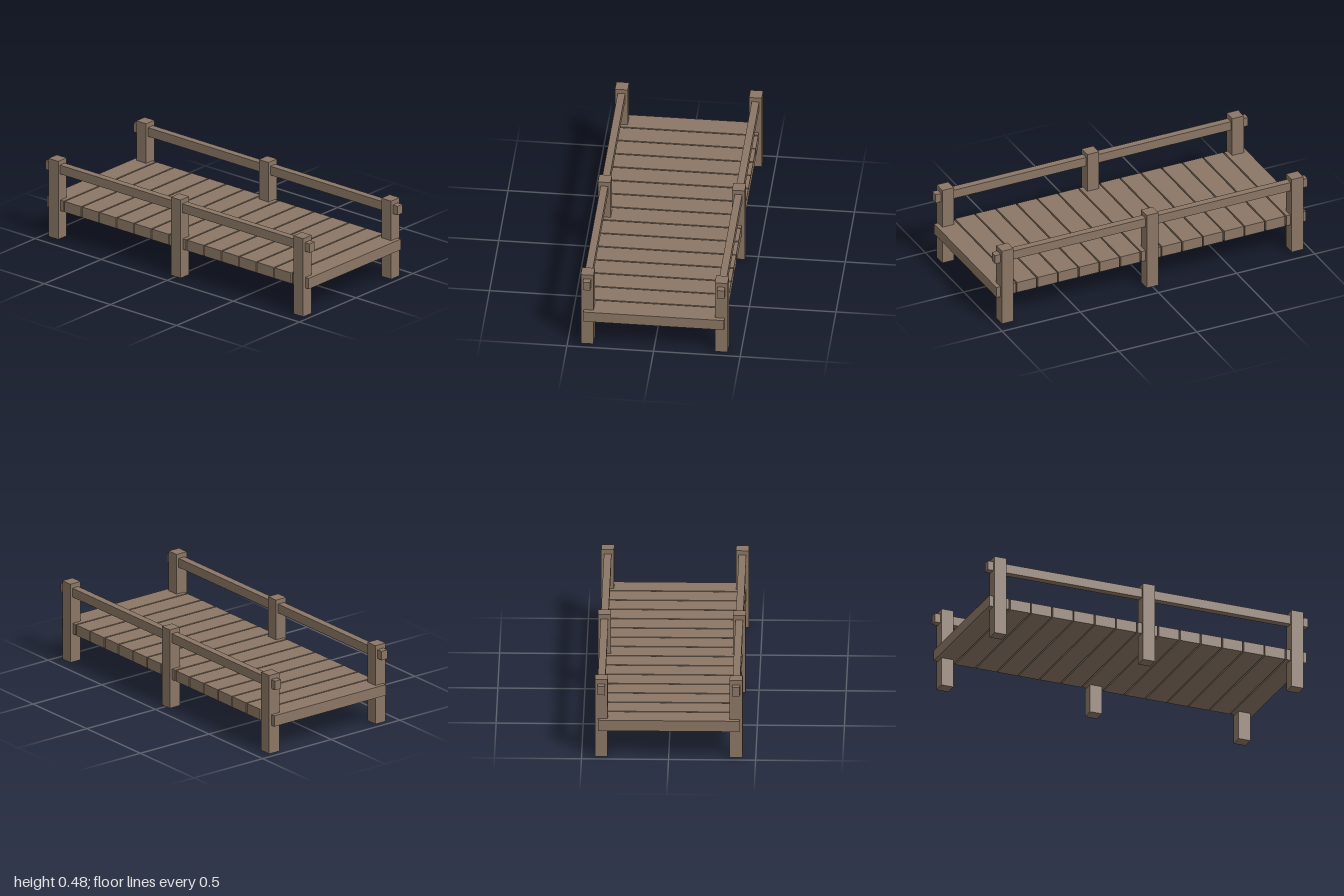
import * as THREE from 'three';

export function createModel() {
  const bridge = new THREE.Group();
  bridge.name = 'footbridge';
  const wood = new THREE.MeshStandardMaterial({ color: 0x8b7765 });
  wood.name = 'weathered wood';

  const beam = (name, size, position) => {
    const mesh = new THREE.Mesh(new THREE.BoxGeometry(...size), wood);
    mesh.name = name;
    mesh.position.set(...position);
    bridge.add(mesh);
  };

  // Deck of separate planks with narrow gaps
  const plankCount = 15, pitch = 0.1325;
  for (let i = 0; i < plankCount; i++) {
    const z = (i - (plankCount - 1) / 2) * pitch;
    beam('plank', [0.812, 0.066, 0.124], [0, 0.205, z]);
  }

  // Posts and handrail on each side
  for (const [side, name] of [[1, 'left'], [-1, 'right']]) {
    for (const z of [-0.927, 0, 0.927]) {
      beam(name + 'Post', [0.074, 0.482, 0.074], [side * 0.387, 0.241, z]);
    }
    beam(name + 'Handrail', [0.043, 0.055, 2], [side * 0.387, 0.427, 0]);
  }
  return bridge;
}
